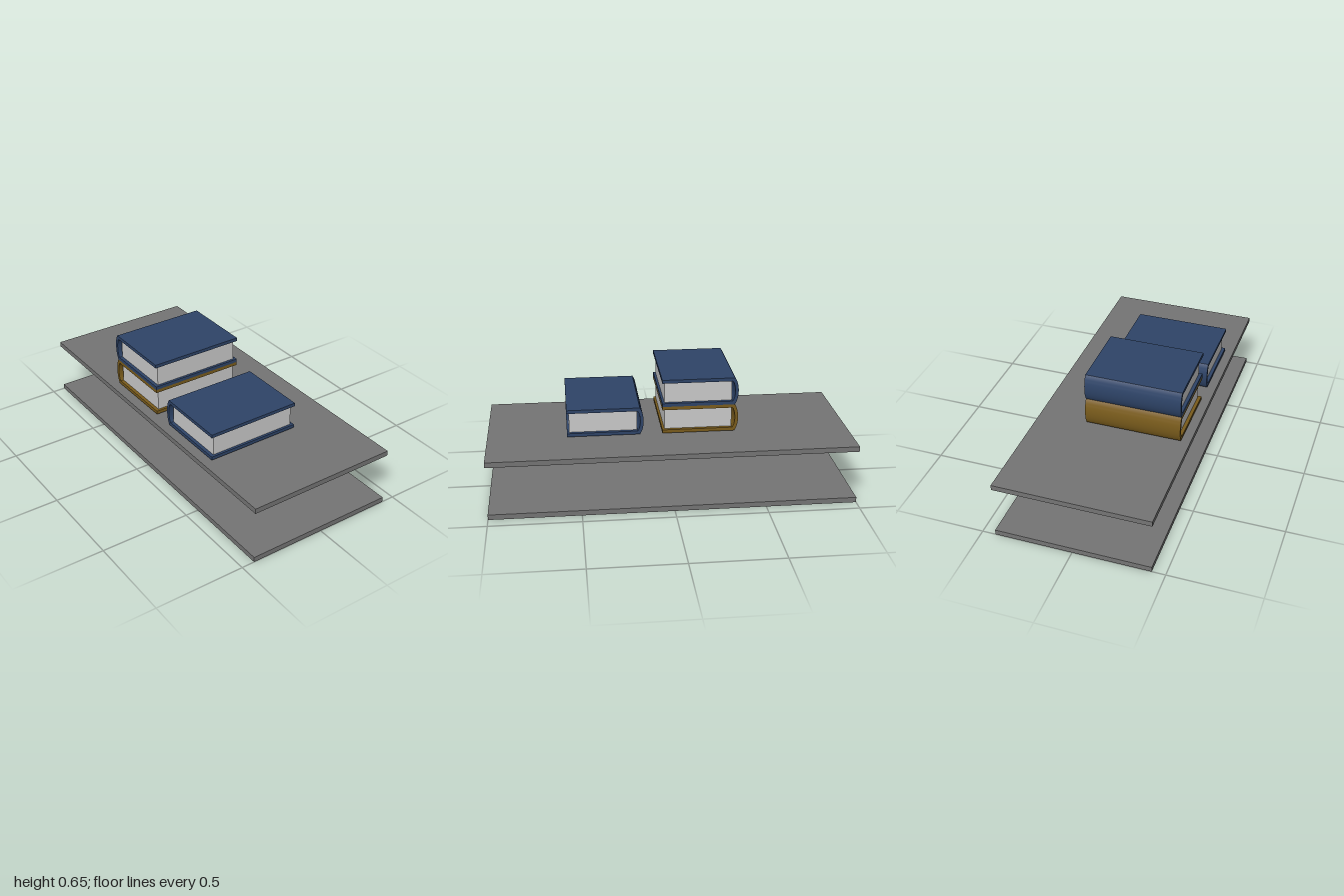
import * as THREE from 'three';
import { toCreasedNormals } from 'three/addons/utils/BufferGeometryUtils.js';

const material = (color) => new THREE.MeshStandardMaterial({ color });
const shelfMat = material(0x757575);
const pageMat = material(0xcccccc);
const blue = material(0x2e4468);
const gold = material(0x7a5c1c);

const WIDTH = 0.532, HEIGHT = 0.154, HALF_DEPTH = 0.21, BOARD = 0.019;

// Wrap-around cover: two boards joined by a rounded spine, extruded along x
function coverGeometry() {
  const front = -HALF_DEPTH, back = HALF_DEPTH - 0.02;
  const inner = back - 0.012, top = HEIGHT - BOARD;
  const s = new THREE.Shape();
  s.moveTo(front, 0);
  s.lineTo(back, 0);
  s.bezierCurveTo(back + 0.027, 0.035, back + 0.027, HEIGHT - 0.035, back, HEIGHT);
  s.lineTo(front, HEIGHT);
  s.lineTo(front, top);
  s.lineTo(inner, top);
  s.bezierCurveTo(inner + 0.019, top - 0.025, inner + 0.019, BOARD + 0.025, inner, BOARD);
  s.lineTo(front, BOARD);
  s.closePath();
  const g = new THREE.ExtrudeGeometry(s, { depth: WIDTH, bevelEnabled: false, curveSegments: 16 });
  g.translate(0, 0, -WIDTH / 2);
  g.rotateY(Math.PI / 2);
  return toCreasedNormals(g, 0.6);
}

function book(name, coverMat, y, z) {
  const group = new THREE.Group();
  group.name = name;
  const cover = new THREE.Mesh(coverGeometry(), coverMat);
  cover.name = 'cover';
  // Page block, set in from the cover edges
  const pages = new THREE.Mesh(new THREE.BoxGeometry(0.496, HEIGHT - 2 * BOARD - 0.002, 0.373), pageMat);
  pages.name = 'pages';
  pages.position.set(0, HEIGHT / 2, 0.011);
  group.add(cover, pages);
  group.position.set(-0.114, y, z);
  return group;
}

export function createModel() {
  const model = new THREE.Group();
  model.name = 'shelvesWithBooks';

  // Two identical shelf boards
  [['lowerShelf', 0.0145], ['upperShelf', 0.3165]].forEach(([name, y]) => {
    const shelf = new THREE.Mesh(new THREE.BoxGeometry(0.854, 0.029, 2), shelfMat);
    shelf.name = name;
    shelf.position.y = y;
    model.add(shelf);
  });

  // One single book and a stack of two
  model.add(
    book('singleBook', blue, 0.343, 0.354),
    book('stackBottomBook', gold, 0.343, -0.17),
    book('stackTopBook', blue, 0.497, -0.17)
  );
  return model;
}
